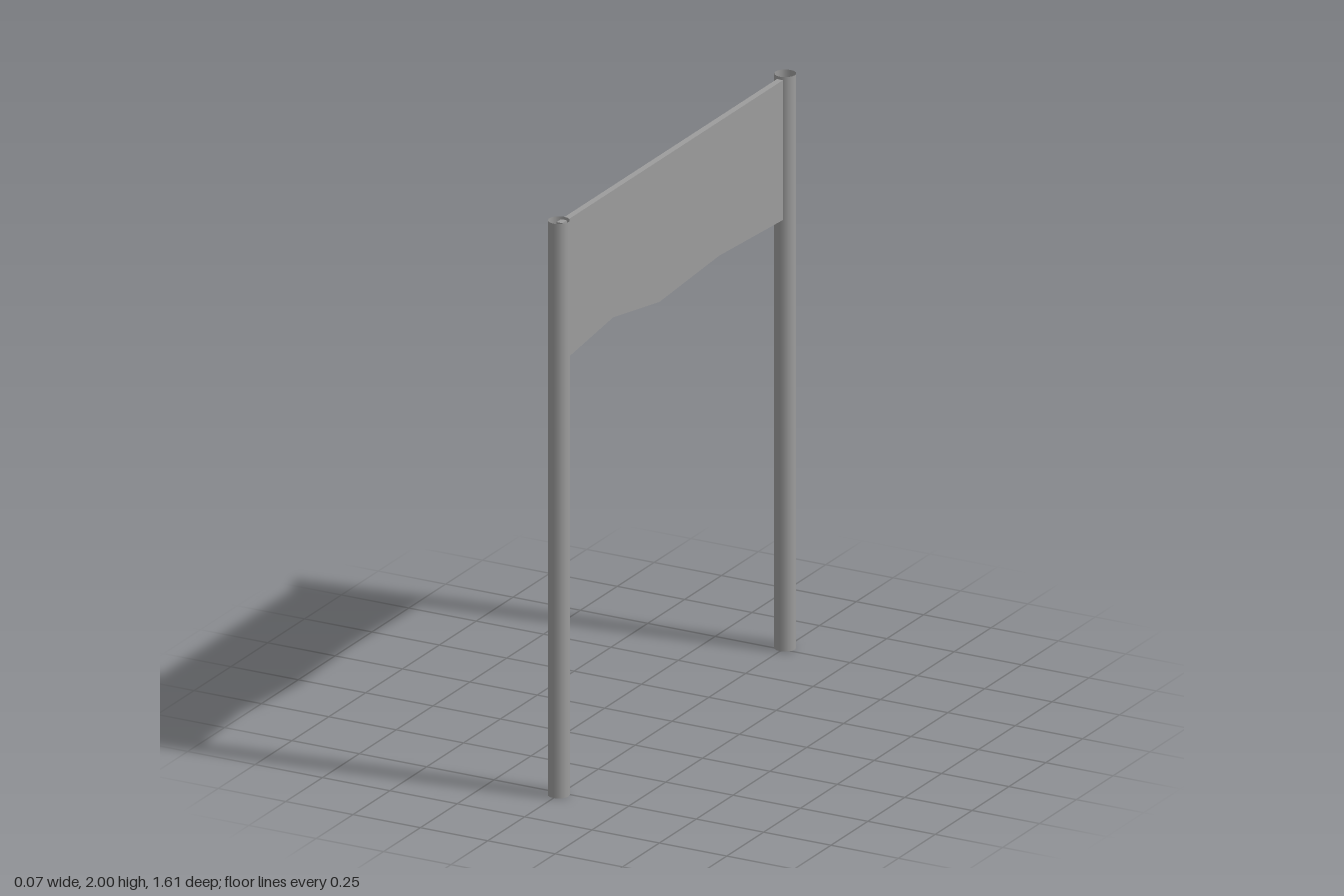
import * as THREE from 'three';

const material = new THREE.MeshStandardMaterial({ color: 0x9c9c9c, side: THREE.DoubleSide });

// Upright open-ended tube
function createPost(name, z) {
  const radius = 0.036, height = 2;
  const geometry = new THREE.CylinderGeometry(radius, radius, height, 16, 1, true);
  const post = new THREE.Mesh(geometry, material);
  post.name = name;
  post.position.set(0, height / 2, z);
  return post;
}

// Thin hanging panel with an uneven lower edge, outlined as [z, y]
function createBanner() {
  const thickness = 0.022;
  const outline = [
    [0.763, 1.99], [-0.737, 1.99], [-0.737, 1.503], [-0.30, 1.523],
    [0.106, 1.497], [0.42, 1.548], [0.763, 1.505],
  ];
  const shape = new THREE.Shape(outline.map(([z, y]) => new THREE.Vector2(z, y)));
  const geometry = new THREE.ExtrudeGeometry(shape, { depth: thickness, bevelEnabled: false });
  geometry.translate(0, 0, -thickness / 2);
  geometry.rotateY(-Math.PI / 2);
  const banner = new THREE.Mesh(geometry, material);
  banner.name = 'banner';
  return banner;
}

export function createModel() {
  const model = new THREE.Group();
  model.name = 'bannerOnPosts';
  model.add(createPost('frontPost', 0.768), createPost('backPost', -0.768), createBanner());
  return model;
}
